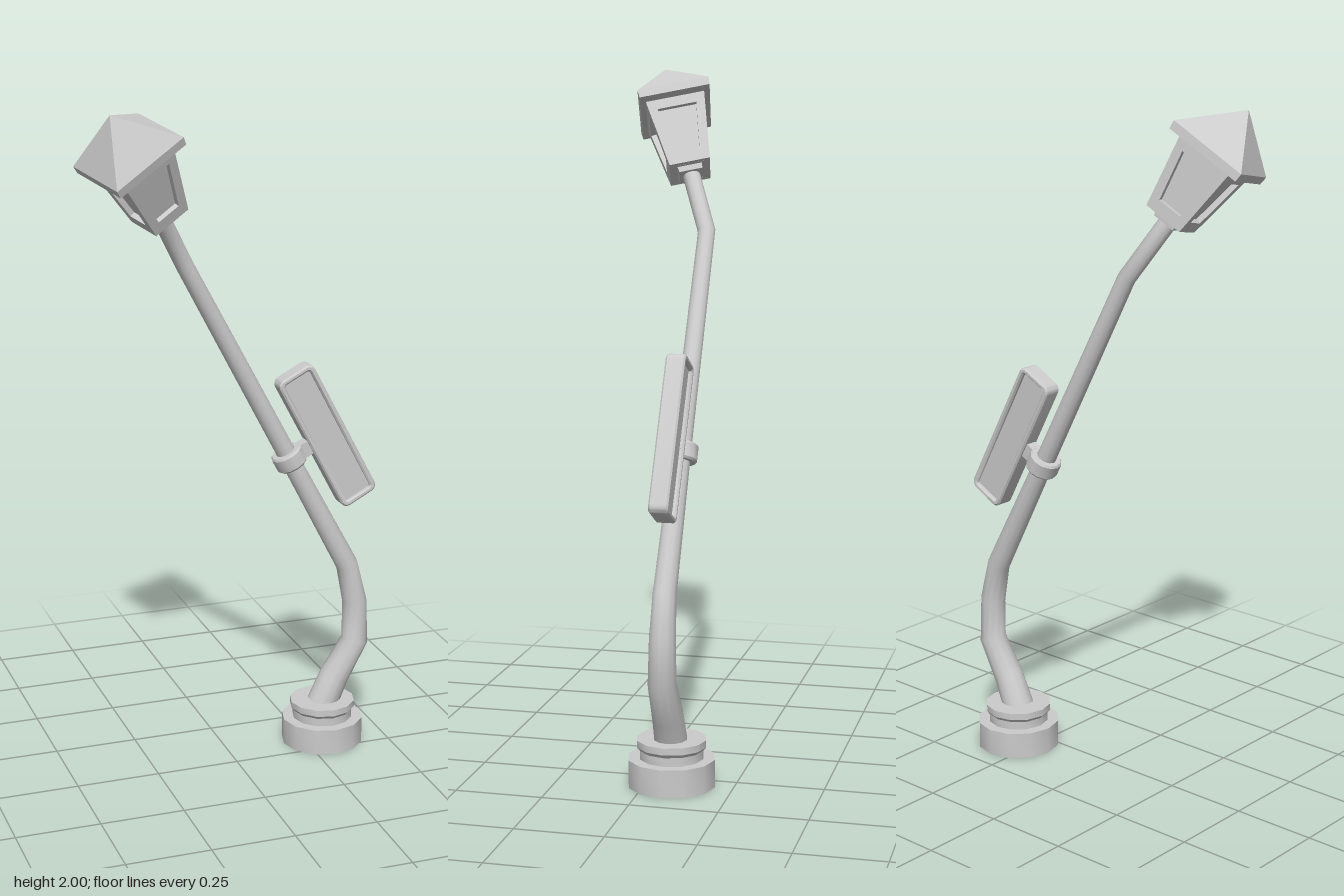
import * as THREE from 'three';
import { toCreasedNormals } from 'three/addons/utils/BufferGeometryUtils.js';

const V = (x, y, z) => new THREE.Vector3(x, y, z);
const smooth = new THREE.MeshStandardMaterial({ color: 0xcccccc, side: THREE.DoubleSide });
const flat = new THREE.MeshStandardMaterial({ color: 0xcccccc, flatShading: true });

function add(parent, name, geometry, material = flat) {
  const mesh = new THREE.Mesh(geometry, material);
  mesh.name = name;
  parent.add(mesh);
  return mesh;
}

// Tapered pole: round sections mitred at each bend
function taperedTube(points, radii, sides) {
  const pos = [], idx = [];
  points.forEach((p, i) => {
    const before = points[Math.max(i - 1, 0)], after = points[Math.min(i + 1, points.length - 1)];
    const a = p.clone().sub(before).normalize(), b = after.clone().sub(p).normalize();
    const dir = a.add(b).normalize();
    const side = V(0, 0, 1).cross(dir).normalize(), front = dir.clone().cross(side);
    for (let k = 0; k < sides; k++) {
      const t = (k / sides) * Math.PI * 2;
      const q = p.clone().addScaledVector(side, radii[i] * Math.cos(t)).addScaledVector(front, radii[i] * Math.sin(t));
      pos.push(q.x, q.y, q.z);
      if (i > 0) {
        const k2 = (k + 1) % sides, lo = (i - 1) * sides, hi = i * sides;
        idx.push(lo + k, hi + k2, hi + k, lo + k, lo + k2, hi + k2);
      }
    }
  });
  const g = new THREE.BufferGeometry();
  g.setAttribute('position', new THREE.Float32BufferAttribute(pos, 3));
  g.setIndex(idx);
  g.computeVertexNormals();
  return g;
}

// Square frustum given by bottom and top half-widths, standing on y = y0
function frustum(bottom, top, y0, height) {
  return new THREE.CylinderGeometry(top * Math.SQRT2, bottom * Math.SQRT2, height, 4, 1)
    .rotateY(Math.PI / 4).translate(0, y0 + height / 2, 0);
}

// Closed outline of a rectangle with rounded corners
function roundedRect(Type, w, h, r) {
  const s = new Type(), x = w / 2 - r, y = h / 2 - r;
  s.absarc(x, y, r, 0, Math.PI / 2);
  s.absarc(-x, y, r, Math.PI / 2, Math.PI);
  s.absarc(-x, -y, r, Math.PI, Math.PI * 1.5);
  s.absarc(x, -y, r, Math.PI * 1.5, Math.PI * 2);
  s.closePath();
  return s;
}

const trapezoid = (b, t, y0, y1) => [[-b, y0], [b, y0], [t, y1], [-t, y1]].map(([x, y]) => new THREE.Vector2(x, y));

function makeLantern() {
  const lantern = new THREE.Group();
  lantern.name = 'lantern';
  // Roof: square eave with a pyramid on top
  add(lantern, 'roofEave', frustum(0.118, 0.12, -0.025, 0.025).scale(1, 1, 0.89));
  add(lantern, 'roof', new THREE.ConeGeometry(0.12 * Math.SQRT2, 0.13, 4).rotateY(Math.PI / 4)
    .translate(0, 0.065, 0).scale(1, 1, 0.89));

  // Four framed sides leaning outward around a recessed core
  const y0 = -0.235, h = 0.212;
  add(lantern, 'glass', frustum(0.044, 0.072, y0 + 0.002, h));
  for (let i = 0; i < 4; i++) {
    const turn = new THREE.Group();
    turn.name = 'windowSide';
    turn.rotation.y = (i * Math.PI) / 2;
    const shape = new THREE.Shape(trapezoid(0.06, 0.088, 0, h));
    shape.holes.push(new THREE.Path(trapezoid(0.037, 0.058, 0.035, h - 0.03).reverse()));
    const g = new THREE.ExtrudeGeometry(shape, { depth: 0.016, bevelEnabled: false }).translate(0, 0, -0.016);
    const frame = add(turn, 'windowFrame', g);
    frame.position.set(0, y0, 0.06);
    frame.rotation.x = Math.atan2(0.028, h);
    lantern.add(turn);
  }
  add(lantern, 'lanternSocket', frustum(0.034, 0.038, y0 - 0.014, 0.02));

  // Tilt along the end of the pole
  const d = V(-0.47, 0.82, 0.32).normalize();
  const u = V(0.2, 0.13, -0.04);
  u.addScaledVector(d, -u.dot(d)).normalize();
  lantern.quaternion.setFromRotationMatrix(new THREE.Matrix4().makeBasis(u, d, u.clone().cross(d)));
  lantern.position.set(-0.337, 1.89, 0.075);
  return lantern;
}

function makeSign() {
  const sign = new THREE.Group();
  sign.name = 'sign';
  // Clamp ring around the pole
  const ring = new THREE.LatheGeometry(
    [[0.03, -0.026], [0.044, -0.026], [0.049, -0.02], [0.049, 0.02], [0.044, 0.026], [0.03, 0.026], [0.03, -0.026]]
      .map(([x, y]) => new THREE.Vector2(x, y)), 12);
  add(sign, 'clamp', toCreasedNormals(ring, 0.6), smooth);
  add(sign, 'signArm', new THREE.BoxGeometry(0.05, 0.045, 0.036).translate(0.062, 0, 0));

  // Rounded frame, open on both faces, with a recessed panel
  const outline = roundedRect(THREE.Shape, 0.122, 0.462, 0.022);
  outline.holes.push(roundedRect(THREE.Path, 0.088, 0.428, 0.008));
  const frame = new THREE.ExtrudeGeometry(outline, { depth: 0.046, bevelThickness: 0.005, bevelSize: 0.005,
    bevelOffset: -0.005, bevelSegments: 1, curveSegments: 3 }).translate(0.13, 0, -0.023);
  add(sign, 'signFrame', toCreasedNormals(frame, 0.6), smooth);
  add(sign, 'signPanel', new THREE.BoxGeometry(0.1, 0.44, 0.032).translate(0.13, 0, 0));

  sign.position.set(0.189, 0.929, -0.072);
  sign.rotation.z = 0.489;
  return sign;
}

export function createModel() {
  const model = new THREE.Group();
  model.name = 'streetLamp';

  // Stepped base, open underneath
  const profile = [[0.125, 0], [0.125, 0.08], [0.092, 0.08], [0.092, 0.105], [0.1, 0.115], [0.1, 0.135], [0, 0.135]];
  const base = new THREE.LatheGeometry(profile.map(([x, y]) => new THREE.Vector2(x, y)), 12);
  add(model, 'base', toCreasedNormals(base, 0.6), smooth).position.set(0.305, 0, -0.073);

  // Bent pole
  const z = -0.072;
  const path = [V(0.305, 0.12, z), V(0.345, 0.21, z), V(0.41, 0.32, z), V(0.407, 0.45, z), V(0.38, 0.57, z),
    V(0.189, 0.929, z), V(-0.13, 1.53, z), V(-0.228, 1.7, 0)];
  add(model, 'pole', taperedTube(path, [0.048, 0.045, 0.041, 0.038, 0.034, 0.029, 0.026, 0.026], 12), smooth);

  model.add(makeSign(), makeLantern());
  return model;
}
